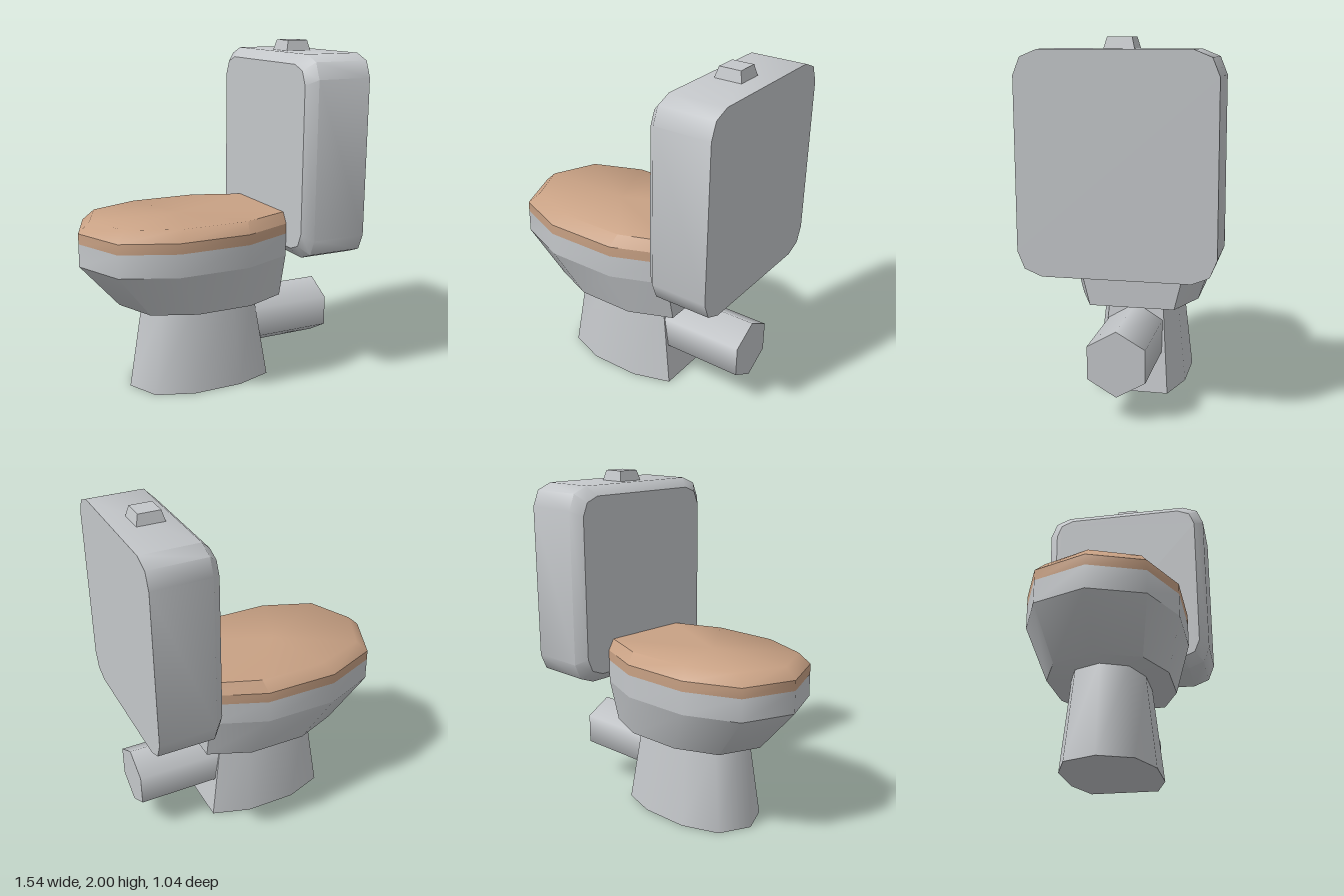
import * as THREE from 'three';
import { toCreasedNormals } from 'three/addons/utils/BufferGeometryUtils.js';

// Skin a stack of closed loops; loops run counterclockwise seen from the last one.
function loft(loops, { capStart = false, capEnd = false, crease = 0.9 } = {}) {
  const n = loops[0].length;
  const pos = loops.flat(2);
  const index = [];
  for (let k = 0; k < loops.length - 1; k++) {
    for (let i = 0; i < n; i++) {
      const j = (i + 1) % n;
      const a = k * n + i, b = k * n + j, c = b + n, d = a + n;
      index.push(a, b, c, a, c, d);
    }
  }
  const cap = (k, flip) => {
    const centre = pos.length / 3;
    for (let axis = 0; axis < 3; axis++) {
      pos.push(loops[k].reduce((s, p) => s + p[axis], 0) / n);
    }
    for (let i = 0; i < n; i++) {
      const a = k * n + i, b = k * n + (i + 1) % n;
      if (flip) index.push(centre, b, a);
      else index.push(centre, a, b);
    }
  };
  if (capStart) cap(0, true);
  if (capEnd) cap(loops.length - 1, false);
  const g = new THREE.BufferGeometry();
  g.setAttribute('position', new THREE.Float32BufferAttribute(pos, 3));
  g.setIndex(index);
  return toCreasedNormals(g, crease);
}

// Oval plan with a pointed front and a flat back, at height y.
const PLAN = [[0, 0], [0.105, 0.7], [0.372, 1], [0.735, 1], [1, 0.71]];
function oval(y, front, back, halfWidth, backHalf = halfWidth * 0.71) {
  const side = PLAN.map(([t, w], i) => [
    front + t * (back - front), y, i === 4 ? backHalf : w * halfWidth]);
  const mirrored = side.slice(1).reverse().map(([x, yy, z]) => [x, yy, -z]);
  return [...side, ...mirrored];
}

// Rounded rectangle across the tank at x, with two-step corners.
function tankLoop(x, inset) {
  const h = 0.58 - inset, w = 0.52 - inset, r = 0.13 - inset * 0.4;
  const corner = [[0, -r], [-0.29 * r, -0.29 * r], [-r, 0]];
  const loop = [];
  for (const [sz, sy] of [[-1, 1], [1, 1], [1, -1], [-1, -1]]) {
    const pts = corner.map(([dz, dy]) => [x, 1.36 + sy * (h + dy), sz * (w + dz)]);
    if (sz * sy > 0) pts.reverse();
    loop.push(...pts);
  }
  return loop;
}

export function createModel() {
  const model = new THREE.Group();
  const ceramic = new THREE.MeshStandardMaterial({ color: 0xc4c7ca });
  const wood = new THREE.MeshStandardMaterial({ color: 0xc8a184 });
  ceramic.name = 'ceramic';
  wood.name = 'wood';

  const add = (name, geometry, material = ceramic) => {
    const mesh = new THREE.Mesh(geometry, material);
    mesh.name = name;
    model.add(mesh);
    return mesh;
  };

  // Foot, bowl and rim
  add('pedestal', loft([
    oval(0, -0.483, 0.335, 0.265, 0.195),
    oval(0.52, -0.4, 0.255, 0.21, 0.155),
  ], { capStart: true }));
  add('bowl', loft([
    oval(0.517, -0.54, 0.385, 0.342, 0.24),
    oval(0.778, -0.772, 0.385, 0.428),
  ], { capStart: true }));
  add('rim', loft([
    oval(0.778, -0.772, 0.385, 0.428),
    oval(0.91, -0.772, 0.385, 0.428),
  ]));

  // Seat edge and softly bevelled lid
  add('seat', loft([
    oval(0.91, -0.772, 0.385, 0.428),
    oval(0.97, -0.772, 0.385, 0.428),
  ]), wood);
  add('lid', loft([
    oval(0.97, -0.772, 0.385, 0.428),
    oval(1.032, -0.705, 0.385, 0.375),
  ], { capEnd: true }), wood);

  // Water tank: bevelled shell plus a flat front panel
  add('tank', loft([
    tankLoop(0.385, 0.055),
    tankLoop(0.44, 0),
    tankLoop(0.77, 0),
  ], { capEnd: true }));
  const panel = new THREE.Shape(
    tankLoop(0.385, 0.055).map(([, y, z]) => new THREE.Vector2(z, y)));
  const front = add('tankFront', new THREE.ShapeGeometry(panel));
  front.rotation.y = -Math.PI / 2;
  front.position.x = 0.385;

  // Flush button on top of the tank
  const square = (y, h) => [[-h, -h], [-h, h], [h, h], [h, -h]]
    .map(([x, z]) => [0.578 + x, y, z]);
  add('flushButton', loft([square(1.935, 0.081), square(2, 0.064)],
    { capEnd: true, crease: 0.3 }));

  // Six-sided waste pipe
  const pipe = add('wastePipe', new THREE.CylinderGeometry(0.18, 0.18, 0.57, 6));
  pipe.geometry.rotateZ(-Math.PI / 2);
  // Put a corner of the hexagon at the top
  const flat = Math.abs(pipe.geometry.attributes.position.getY(0)) < 0.17;
  if (flat) pipe.geometry.rotateX(Math.PI / 6);
  pipe.position.set(0.485, 0.325, 0);

  return model;
}
